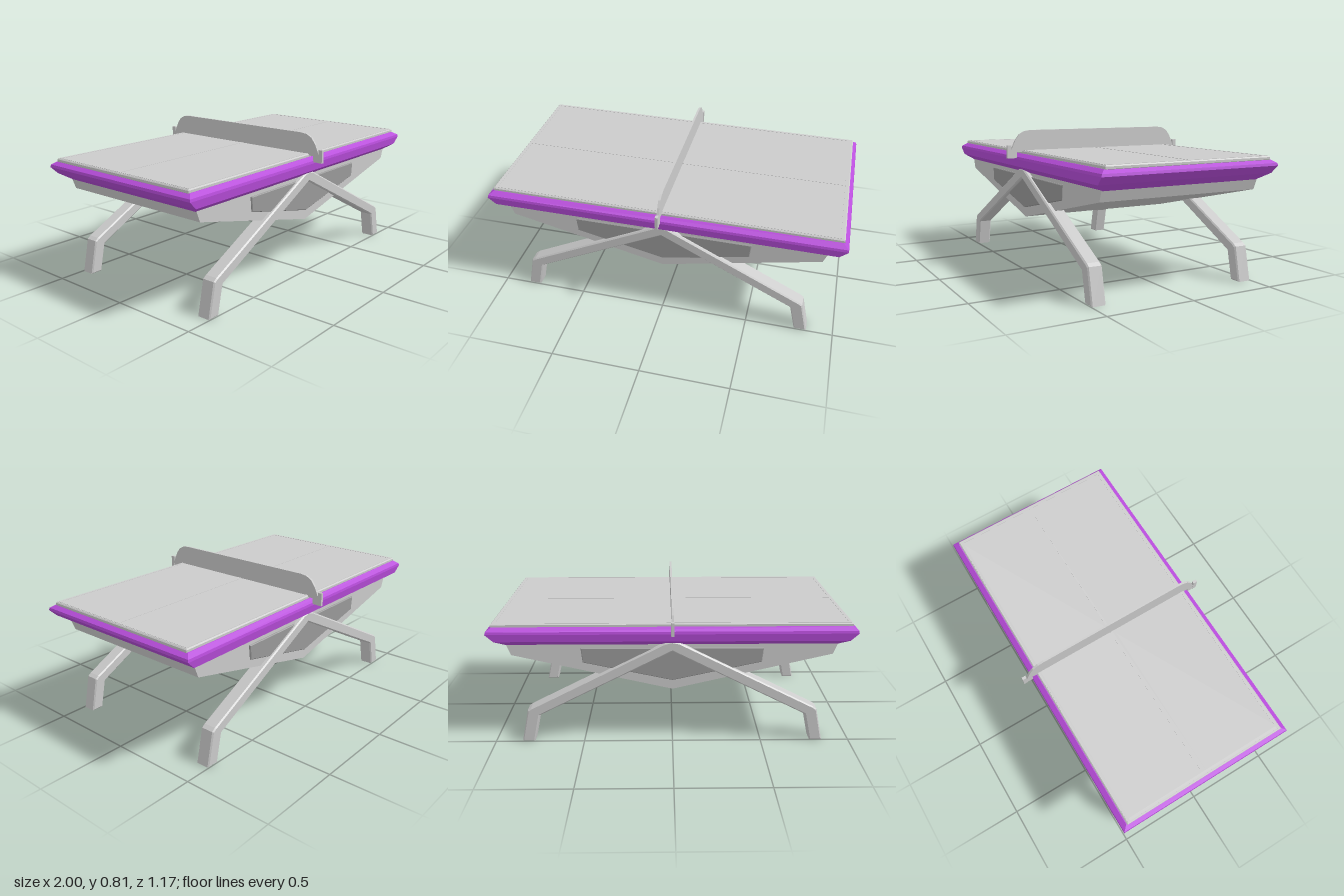
import * as THREE from 'three';

const material = (color) => new THREE.MeshStandardMaterial({ color, flatShading: true });
const grey = material(0xcccccc);
const darkGrey = material(0x9a9a9a);
const paleGrey = material(0xeeeeee);
const purple = material(0xb84ddb);

function add(parent, name, geometry, mat) {
  const mesh = new THREE.Mesh(geometry, mat);
  mesh.name = name;
  parent.add(mesh);
  return mesh;
}

// Closed stack of rectangles, each given as [halfX, halfZ, y], bottom to top
function rectLoft(levels) {
  const pos = [], idx = [];
  for (const [hx, hz, y] of levels) pos.push(-hx, y, hz, hx, y, hz, hx, y, -hz, -hx, y, -hz);
  for (let l = 0; l < levels.length - 1; l++) {
    for (let i = 0; i < 4; i++) {
      const a = l * 4 + i, b = l * 4 + (i + 1) % 4;
      idx.push(a, b, b + 4, a, b + 4, a + 4);
    }
  }
  const t = (levels.length - 1) * 4;
  idx.push(0, 2, 1, 0, 3, 2, t, t + 1, t + 2, t, t + 2, t + 3);
  const g = new THREE.BufferGeometry();
  g.setAttribute('position', new THREE.Float32BufferAttribute(pos, 3));
  g.setIndex(idx);
  const flat = g.toNonIndexed();
  flat.computeVertexNormals();
  return flat;
}

// Outline symmetric about x = 0, from its right half listed top centre to bottom centre
function mirrored(half) {
  const left = half.filter(([x]) => x > 0).reverse().map(([x, y]) => [-x, y]);
  return new THREE.Shape([...half, ...left].map(([x, y]) => new THREE.Vector2(x, y)));
}

// Extrusion centred on z = 0 whose total depth and outline include the bevel
function slab(shape, depth, bevel = 0) {
  const g = new THREE.ExtrudeGeometry(shape, {
    depth: depth - 2 * bevel, bevelEnabled: bevel > 0, bevelSegments: 1,
    bevelSize: bevel, bevelThickness: bevel, bevelOffset: -bevel, curveSegments: 10,
  });
  return g.translate(0, 0, -depth / 2 + bevel);
}

export function createModel() {
  const table = new THREE.Group();
  table.name = 'pingPongTable';

  // Bevelled rim and playing surface
  add(table, 'rim', rectLoft([
    [0.90, 0.468, 0.57], [0.957, 0.525, 0.608], [1, 0.53, 0.65], [0.997, 0.527, 0.664], [0.97, 0.5, 0.682],
  ]), purple);
  add(table, 'tabletop', rectLoft([
    [0.97, 0.49, 0.676], [0.975, 0.496, 0.682], [0.975, 0.496, 0.694], [0.969, 0.49, 0.7],
  ]), grey);

  // Painted lines
  const lines = new THREE.Group();
  lines.name = 'tableLines';
  table.add(lines);
  const line = (name, w, d, x, z) =>
    add(lines, name, new THREE.BoxGeometry(w, 0.002, d), paleGrey).position.set(x, 0.7005, z);
  line('centreLine', 1.9, 0.026, 0, 0);
  for (const s of [-1, 1]) {
    line('sideLine', 1.93, 0.015, 0, s * 0.48);
    line('endLine', 0.015, 0.945, s * 0.9575, 0);
  }

  // V-shaped underbody
  add(table, 'underbody', slab(mirrored([[0, 0.58], [0.905, 0.58], [0.88, 0.515], [0, 0.31]]), 0.95), grey);

  const legHalf = [
    [0, 0.597], [0.04, 0.588], [0.79, 0.205], [0.81, 0.19], [0.85, 0], [0.78, 0], [0.745, 0.16], [0, 0.54],
  ];
  for (const s of [-1, 1]) {
    // Raised panel on each long side
    add(table, 'sidePanel', slab(mirrored([[0, 0.555], [0.5, 0.555], [0.492, 0.472], [0, 0.365]]), 0.02, 0.004), darkGrey)
      .position.z = s * 0.474;
    // Splayed pair of legs
    add(table, 'legs', slab(mirrored(legHalf), 0.082, 0.007), grey).position.z = s * 0.459;
  }

  // Net with rounded shoulders and end tabs, drawn in profile and turned across the table
  const net = new THREE.Group();
  net.name = 'netAssembly';
  table.add(net);
  const profile = mirrored([
    [0, 0.815], [0.44, 0.815], [0.477, 0.81], [0.51, 0.792], [0.535, 0.758], [0.552, 0.722],
    [0.56, 0.7], [0.575, 0.7], [0.575, 0.656], [0.525, 0.656], [0.525, 0.69], [0, 0.69],
  ]);
  add(net, 'net', slab(profile, 0.012).rotateY(Math.PI / 2), grey);
  for (const s of [-1, 1]) {
    add(net, 'netPost', new THREE.BoxGeometry(0.016, 0.074, 0.024), grey).position.set(0, 0.693, s * 0.572);
  }
  return table;
}
